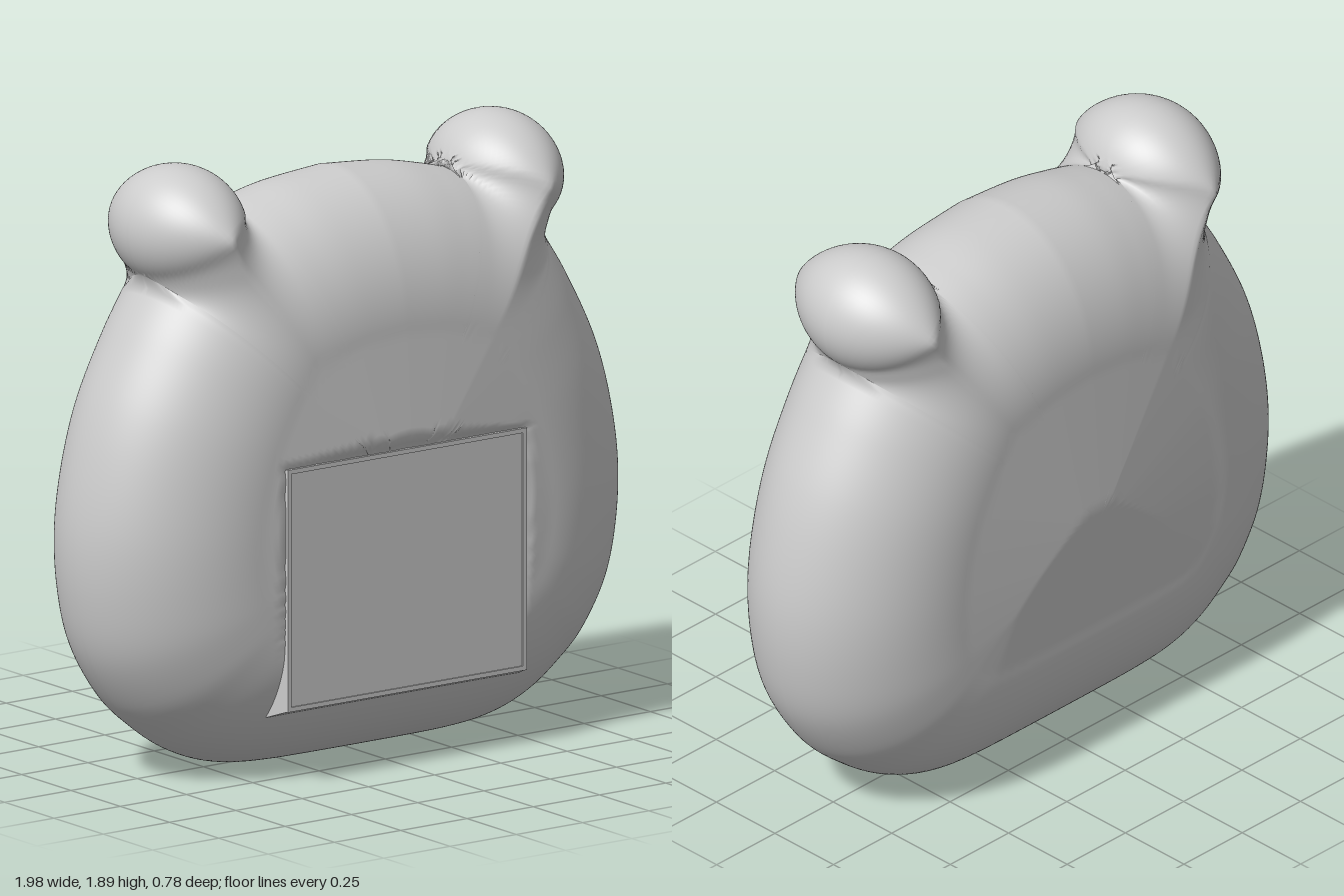
import * as THREE from 'three';
import { mergeVertices } from 'three/addons/utils/BufferGeometryUtils.js';

const CENTRE = new THREE.Vector2(0, 0.85);
const SCREEN = { left: -0.455, right: 0.447, bottom: 0.235, top: 0.99 };

const spline = (pts, n) =>
  new THREE.SplineCurve(pts.map(p => new THREE.Vector2(...p))).getSpacedPoints(n);

// Closed outline, clockwise from the top: crown, round ear, cheek, then mirrored
function makeOutline() {
  const crown = spline([[0, 1.803], [0.2, 1.785], [0.33, 1.758], [0.415, 1.735]], 24);
  const ear = [];
  for (let i = 0; i <= 44; i++) {
    const a = THREE.MathUtils.degToRad(168 - (i / 44) * 214);
    ear.push(new THREE.Vector2(0.596 + 0.191 * Math.cos(a), 1.7 + 0.191 * Math.sin(a)));
  }
  const cheek = spline([
    [0.715, 1.525], [0.8, 1.39], [0.9, 1.19], [0.96, 0.99], [0.99, 0.78], [0.98, 0.58],
    [0.935, 0.4], [0.84, 0.24], [0.74, 0.145], [0.63, 0.07], [0.5, 0.022], [0.33, 0.003], [0, 0],
  ], 90);
  const half = [...crown, ...ear, ...cheek];
  const mirrored = half.slice(1, -1).reverse().map(p => new THREE.Vector2(-p.x, p.y));
  return [...half, ...mirrored];
}

// Shortest distance from a point to the outline
function edgeDistance(x, y, outline) {
  let best = Infinity;
  for (let i = 0; i < outline.length; i++) {
    const a = outline[i], b = outline[(i + 1) % outline.length];
    const ex = b.x - a.x, ey = b.y - a.y;
    const t = THREE.MathUtils.clamp(
      ((x - a.x) * ex + (y - a.y) * ey) / (ex * ex + ey * ey || 1), 0, 1);
    best = Math.min(best, Math.hypot(x - a.x - t * ex, y - a.y - t * ey));
  }
  return best;
}

// Cushion profile: elliptical rim, then a gentle rise to the middle
function puff(d) {
  const rim = Math.min(d / 0.45, 1);
  return 0.36 * Math.sqrt(1 - (1 - rim) ** 2) + 0.03 * Math.max(0, (d - 0.45) / 0.4);
}

// Shallow recess in the front around the screen
function recess(x, y, z) {
  const outside = Math.max(
    SCREEN.left - x, x - SCREEN.right, SCREEN.bottom - y, y - SCREEN.top, 0);
  return Math.min(z, 0.355 + outside * 0.8);
}

function makeBody() {
  const outline = makeOutline();
  const rings = 64, n = outline.length;
  const positions = [], index = [];
  for (const side of [1, -1]) {
    const base = positions.length / 3;
    for (let i = 0; i <= rings; i++) {
      const s = Math.sin((i / rings) * Math.PI / 2);
      for (const p of outline) {
        const x = THREE.MathUtils.lerp(CENTRE.x, p.x, s);
        const y = THREE.MathUtils.lerp(CENTRE.y, p.y, s);
        const z = i === rings ? 0 : puff(edgeDistance(x, y, outline));
        positions.push(x, y, side > 0 ? recess(x, y, z) : -z);
      }
    }
    for (let i = 0; i < rings; i++) {
      for (let j = 0; j < n; j++) {
        const k = (j + 1) % n;
        const a = base + i * n + j, d = base + i * n + k;
        const b = a + n, c = d + n;
        if (side > 0) index.push(a, c, b); else index.push(a, b, c);
        if (i > 0) {
          if (side > 0) index.push(a, d, c); else index.push(a, c, d);
        }
      }
    }
  }
  const geometry = new THREE.BufferGeometry();
  geometry.setAttribute('position', new THREE.Float32BufferAttribute(positions, 3));
  geometry.setIndex(index);
  const welded = mergeVertices(geometry, 1e-5);
  welded.computeVertexNormals();
  return welded;
}

// Block behind the screen, flaring towards the back so its lower lip slopes
function makeScreenBlock() {
  const geometry = new THREE.BoxGeometry(1, 1, 1);
  const pos = geometry.attributes.position;
  for (let i = 0; i < pos.count; i++) {
    const front = pos.getZ(i) > 0;
    const flare = front ? 0 : 0.035;
    const x = pos.getX(i) > 0 ? SCREEN.right + flare : SCREEN.left - flare;
    const y = pos.getY(i) > 0 ? SCREEN.top : SCREEN.bottom - flare;
    pos.setXYZ(i, x, y, front ? 0.362 : 0.27);
  }
  geometry.computeVertexNormals();
  return geometry;
}

// Narrow raised border around the screen
function makeScreenFrame() {
  const rect = (target, m) => {
    target.moveTo(SCREEN.left + m, SCREEN.bottom + m);
    target.lineTo(SCREEN.right - m, SCREEN.bottom + m);
    target.lineTo(SCREEN.right - m, SCREEN.top - m);
    target.lineTo(SCREEN.left + m, SCREEN.top - m);
    target.closePath();
    return target;
  };
  const shape = rect(new THREE.Shape(), 0);
  shape.holes.push(rect(new THREE.Path(), 0.014));
  const geometry = new THREE.ExtrudeGeometry(shape, { depth: 0.006, bevelEnabled: false });
  geometry.translate(0, 0, 0.361);
  return geometry;
}

export function createModel() {
  const grey = new THREE.MeshStandardMaterial({ color: 0xcccccc });
  grey.name = 'light grey';
  const group = new THREE.Group();
  group.name = 'earedCushion';
  const add = (name, geometry) => {
    const mesh = new THREE.Mesh(geometry, grey);
    mesh.name = name;
    group.add(mesh);
  };
  add('bodyWithEars', makeBody());
  add('screen', makeScreenBlock());
  add('screenFrame', makeScreenFrame());
  return group;
}
